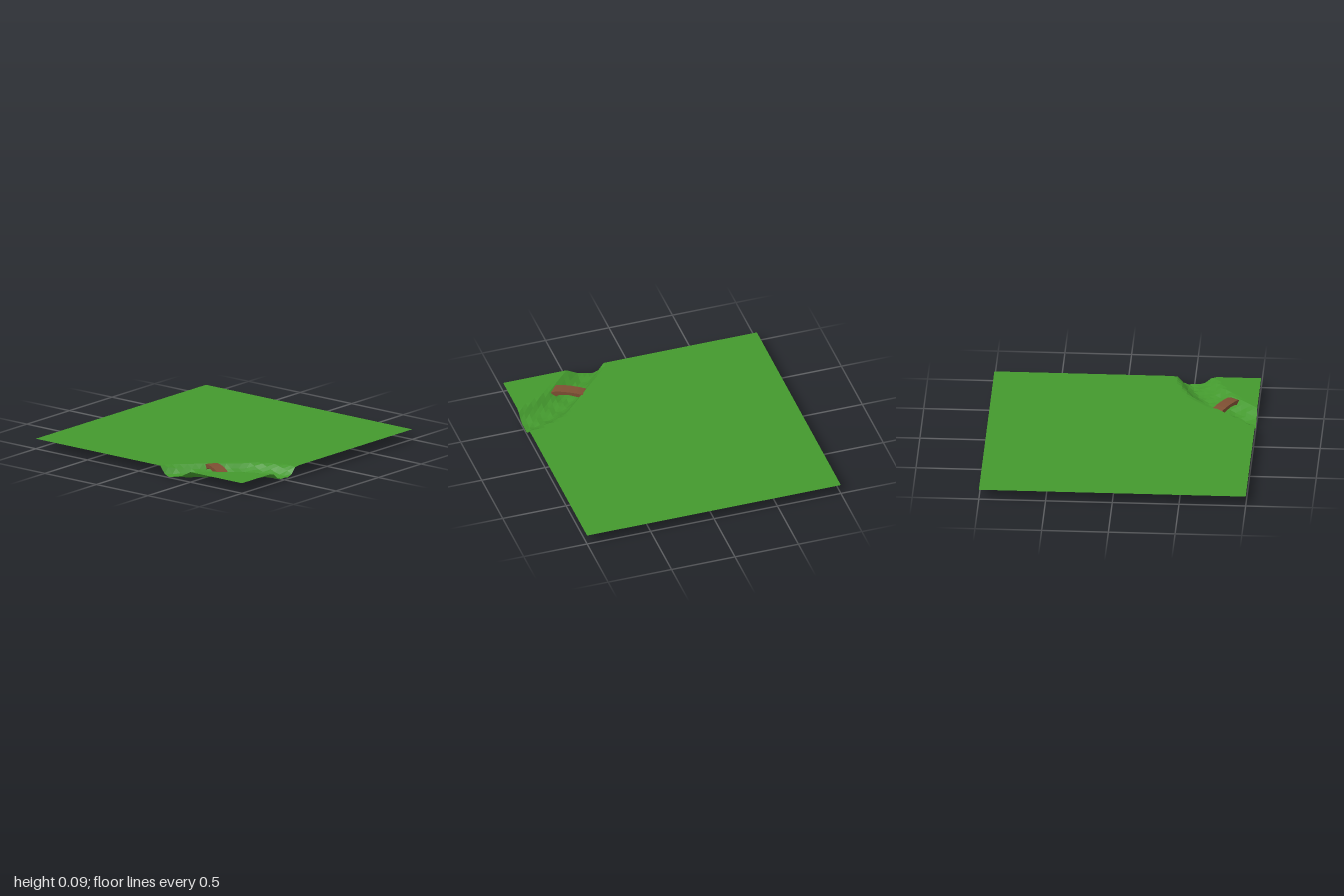
import * as THREE from 'three';

const TOP = 0.078;

// Linear interpolation through [x, y] pairs, extended flat at both ends.
function sample(points, x) {
  if (x <= points[0][0]) return points[0][1];
  for (let i = 1; i < points.length; i++) {
    const [x0, y0] = points[i - 1], [x1, y1] = points[i];
    if (x <= x1) return y0 + (y1 - y0) * (x - x0) / (x1 - x0);
  }
  return points[points.length - 1][1];
}

// Bank lines as z over x, and the channel's depth from inner to outer bank.
const innerBank = [[0.2, 1.01], [0.3, 0.88], [0.42, 0.75], [0.55, 0.61], [0.66, 0.5], [0.8, 0.43], [1, 0.37]];
const outerBank = [[0.2, 1.28], [0.5, 0.99], [0.7, 0.81], [0.85, 0.71], [1, 0.64]];
const channel = [[0, 0], [0.18, 0.052], [0.36, 0.07], [0.6, 0.068], [0.8, 0.042], [1, 0]];

function groundHeight(x, z) {
  if (x < 0.2) return TOP;
  const a = sample(innerBank, x), b = sample(outerBank, x);
  const depth = sample(channel, (z - a) / (b - a));
  const lumps = 1 + 0.13 * Math.sin(x * 31 + z * 9) * Math.cos(z * 37 - x * 6);
  return Math.max(0, TOP - depth * lumps);
}

export function createModel() {
  const model = new THREE.Group();

  // Flat meadow with a stream bed cut across one corner
  const ground = new THREE.PlaneGeometry(2, 2, 48, 48).rotateX(-Math.PI / 2);
  const p = ground.attributes.position;
  for (let i = 0; i < p.count; i++) p.setY(i, groundHeight(p.getX(i), p.getZ(i)));
  ground.computeVertexNormals();
  const meadow = new THREE.Mesh(ground, new THREE.MeshStandardMaterial({
    color: 0x43982d, flatShading: true, side: THREE.DoubleSide,
  }));
  meadow.name = 'meadow';
  model.add(meadow);

  // Low arched footbridge whose feet sink into both banks
  const half = [[0, 0.086], [0.06, 0.084], [0.105, 0.078], [0.135, 0.064], [0.135, 0.036],
    [0.095, 0.036], [0.075, 0.052], [0, 0.062]];
  const left = half.slice(1, -1).reverse().map(([x, y]) => [-x, y]);
  const arch = new THREE.Shape([...half, ...left].map(([x, y]) => new THREE.Vector2(x, y)));
  const span = new THREE.ExtrudeGeometry(arch, { depth: 0.086, bevelEnabled: false }).translate(0, 0, -0.043);
  const bridge = new THREE.Mesh(span, new THREE.MeshStandardMaterial({ color: 0x7d4f32, flatShading: true }));
  bridge.name = 'footbridge';
  bridge.position.set(0.553, 0, 0.76);
  bridge.rotation.y = -0.52;
  model.add(bridge);

  return model;
}
